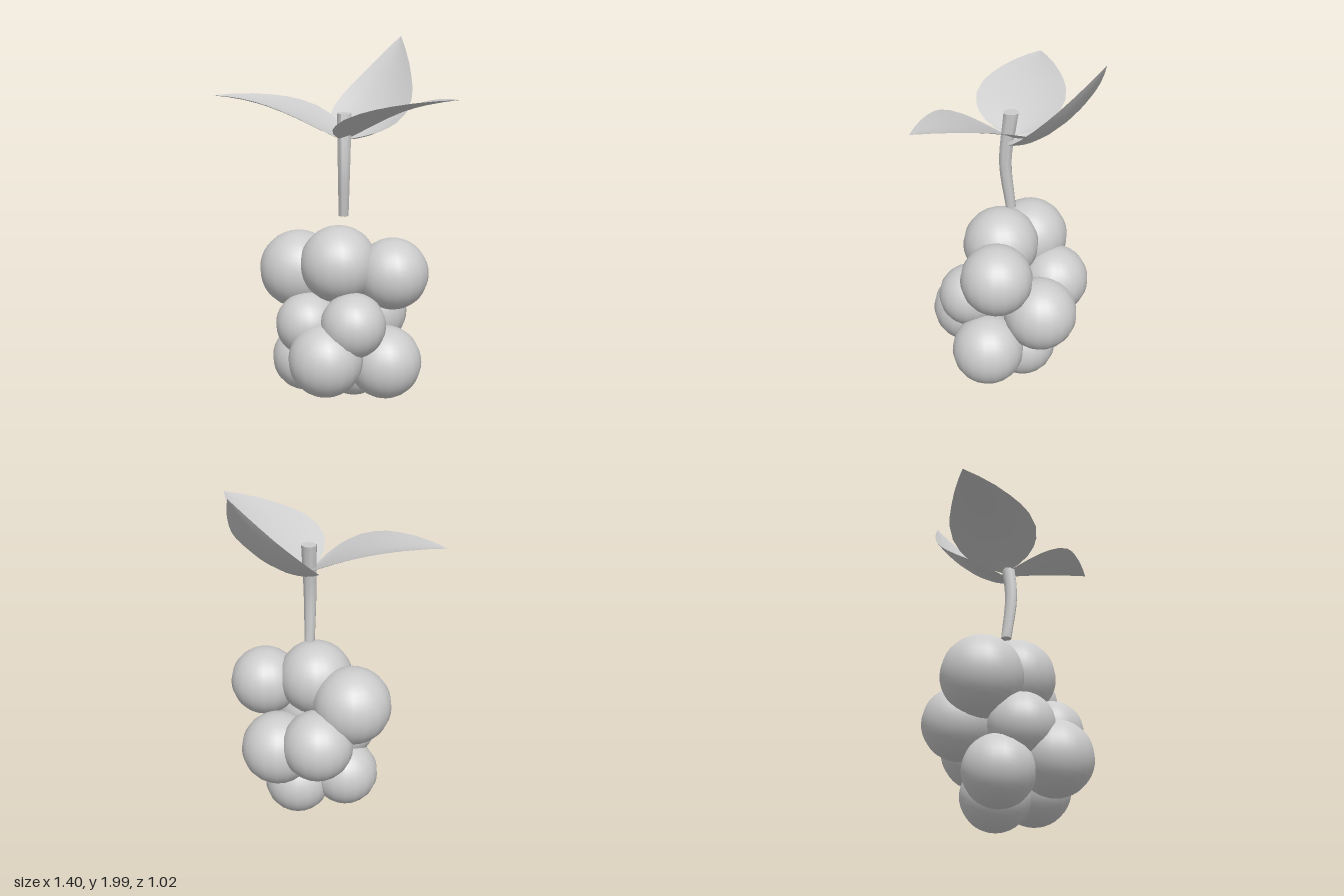
import * as THREE from 'three';

const grey = new THREE.MeshStandardMaterial({ color: 0xcccccc, side: THREE.DoubleSide });
grey.name = 'plain grey';
const V = (x, y, z) => new THREE.Vector3(x, y, z);

// berries: x, y, z, radius
const BERRIES = [
  [0.01, 0.815, 0.1, 0.21], [-0.26, 0.74, 0.04, 0.217], [0.285, 0.765, 0, 0.195],
  [-0.155, 0.55, -0.155, 0.197], [0.09, 0.47, -0.175, 0.205],
  [-0.13, 0.485, 0.2, 0.175], [0.15, 0.525, 0.23, 0.175],
  [0.025, 0.34, 0.31, 0.2], [-0.19, 0.248, 0.1, 0.188],
  [0.27, 0.276, 0.065, 0.2], [0.04, 0.197, -0.045, 0.188],
];

// half-width of a leaf along its length: [t, share of the widest]
const OUTLINE = [[0, 0], [0.04, 0.38], [0.08, 0.62], [0.14, 0.82], [0.2, 0.93], [0.3, 1],
  [0.42, 0.95], [0.52, 0.84], [0.62, 0.69], [0.75, 0.48], [0.88, 0.24], [1, 0]];

// cupped blade following a curved midrib
function leafGeometry(base, bend, tip, halfWidth, cup) {
  const rib = new THREE.QuadraticBezierCurve3(base, bend, tip);
  const across = V(tip.z - base.z, 0, base.x - tip.x).normalize();
  const cols = 8, pos = [], index = [];
  OUTLINE.forEach(([t, w], i) => {
    const mid = rib.getPointAt(t);
    for (let j = 0; j <= cols; j++) {
      const s = (j / cols) * 2 - 1;
      const p = mid.clone().addScaledVector(across, s * w * halfWidth);
      pos.push(p.x, p.y + cup * s * s * w, p.z);
      if (i && j) {
        const d = i * (cols + 1) + j, c = d - 1, b = d - cols - 1, a = b - 1;
        index.push(a, b, c, b, d, c);
      }
    }
  });
  const g = new THREE.BufferGeometry();
  g.setAttribute('position', new THREE.Float32BufferAttribute(pos, 3));
  g.setIndex(index);
  g.computeVertexNormals();
  return g;
}

// tube along a curve whose radius changes evenly, with flat ends
function taperedTube(curve, r0, r1, rings, sides) {
  const g = new THREE.CylinderGeometry(1, 1, 1, sides, rings);
  const p = g.attributes.position;
  for (let i = 0; i < p.count; i++) {
    const t = p.getY(i) + 0.5, r = r0 + (r1 - r0) * t, c = curve.getPoint(t);
    p.setXYZ(i, c.x + p.getX(i) * r, c.y, c.z + p.getZ(i) * r);
  }
  g.computeVertexNormals();
  return g;
}

export function createModel() {
  const model = new THREE.Group();
  model.name = 'berryCluster';
  const add = (geometry, name, parent = model) => {
    const mesh = new THREE.Mesh(geometry, grey);
    mesh.name = name;
    parent.add(mesh);
    return mesh;
  };

  // berries and the thin stalks that hold them
  const berries = new THREE.Group(), stalks = new THREE.Group();
  berries.name = 'berries';
  stalks.name = 'stalks';
  model.add(berries, stalks);
  for (const [x, y, z, r] of BERRIES) {
    add(new THREE.SphereGeometry(r, 18, 20), 'berry', berries).position.set(x, y, z);
    const top = V(0.01, Math.min(y + 0.2, 0.93), 0.04);
    add(new THREE.TubeGeometry(new THREE.LineCurve3(top, V(x, y, z)), 1, 0.012, 6), 'stalk', stalks);
  }
  add(new THREE.CylinderGeometry(0.015, 0.015, 0.65, 6), 'innerStem', stalks).position.set(0.01, 0.6, 0.04);

  // main stem, slightly bent
  const stemPath = new THREE.CatmullRomCurve3(
    [V(0.012, 1.07, 0.037), V(0.025, 1.34, 0.062), V(0.014, 1.625, 0.032)]);
  add(taperedTube(stemPath, 0.029, 0.042, 8, 8), 'stem');

  // three leaves around the stem
  const base = V(0.01, 1.48, 0.03);
  add(leafGeometry(base, V(-0.3, 1.69, 0.09), V(-0.705, 1.7, 0.17), 0.242, 0.04), 'rightLeaf');
  add(leafGeometry(base, V(0.3, 1.68, 0.11), V(0.7, 1.75, 0.235), 0.245, 0.04), 'leftLeaf');
  add(leafGeometry(V(0.015, 1.48, 0.01), V(0.08, 1.47, -0.24), V(0.13, 2, -0.51), 0.238, 0.06), 'backLeaf');
  return model;
}
